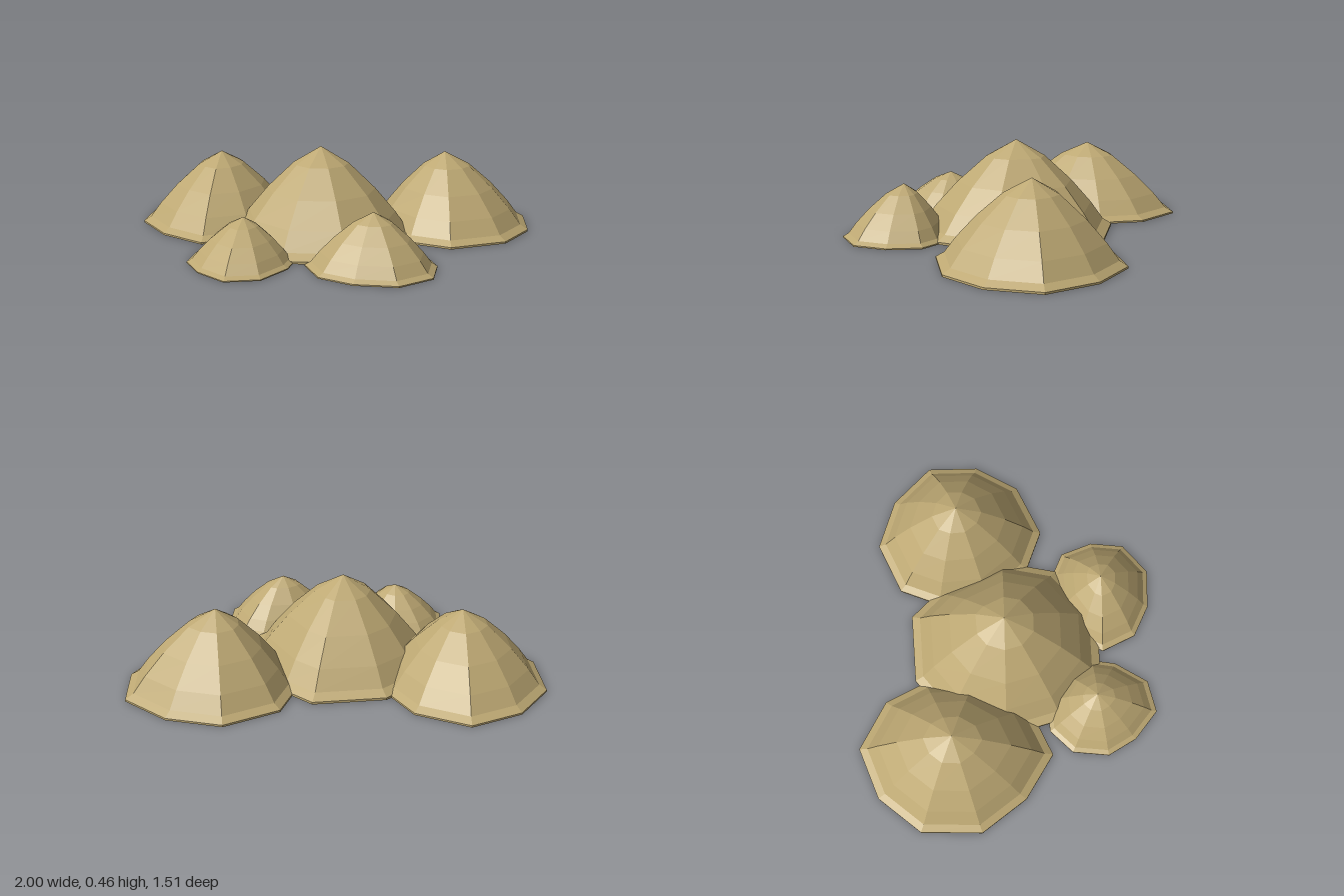
import * as THREE from 'three';

// Shared slope: [fraction of footprint, fraction of height], rim to crown
const PROFILE = [[1, 0], [1, 0.025], [0.91, 0.085], [0.78, 0.28], [0.57, 0.54], [0.29, 0.82]];

// Faceted mound: footprint runs clockwise seen from above, shrinking towards the apex
function createMound(name, [ax, height, az], footprint, material) {
  const n = footprint.length;
  const positions = [];
  const index = [];
  for (const [r, h] of PROFILE) {
    for (const [x, z] of footprint) {
      positions.push(ax + (x - ax) * r, height * h, az + (z - az) * r);
    }
  }
  const apex = PROFILE.length * n;
  const base = apex + 1;
  positions.push(ax, height, az, ax, 0, az);

  for (let i = 0; i < n; i++) {
    const j = (i + 1) % n;
    for (let k = 0; k < PROFILE.length - 1; k++) {
      const lo = k * n;
      const hi = lo + n;
      index.push(lo + j, lo + i, hi + i, lo + j, hi + i, hi + j);
    }
    const top = apex - n;
    index.push(top + j, top + i, apex); // crown
    index.push(base, i, j); // flat underside
  }

  const indexed = new THREE.BufferGeometry();
  indexed.setAttribute('position', new THREE.Float32BufferAttribute(positions, 3));
  indexed.setIndex(index);
  const geometry = indexed.toNonIndexed();
  geometry.computeVertexNormals();
  const mesh = new THREE.Mesh(geometry, material);
  mesh.name = name;
  return mesh;
}

// Each mound: name, apex [x, height, z], footprint corners [x, z]
const MOUNDS = [
  ['centreMound', [-0.05, 0.455, -0.02], [
    [-0.22, -0.48], [0.13, -0.5], [0.27, -0.36], [0.43, -0.02], [0.37, 0.26],
    [0.12, 0.47], [-0.2, 0.47], [-0.44, 0.27], [-0.52, -0.02], [-0.42, -0.32]]],
  ['backRightMound', [-0.6, 0.365, -0.28], [
    [-0.57, -0.76], [-0.33, -0.63], [-0.23, -0.43], [-0.22, -0.17], [-0.38, 0.1],
    [-0.62, 0.21], [-0.84, 0.07], [-1, -0.15], [-0.99, -0.45], [-0.82, -0.66]]],
  ['backLeftMound', [0.57, 0.39, -0.25], [
    [0.54, -0.68], [0.8, -0.6], [1, -0.41], [1, -0.15], [0.87, 0.07],
    [0.6, 0.19], [0.39, 0.11], [0.22, -0.1], [0.2, -0.36], [0.28, -0.56]]],
  ['frontRightMound', [-0.37, 0.21, 0.43], [
    [-0.5, 0.2], [-0.34, 0.19], [-0.2, 0.28], [-0.13, 0.43], [-0.15, 0.55],
    [-0.25, 0.71], [-0.41, 0.745], [-0.55, 0.63], [-0.63, 0.49], [-0.61, 0.31]]],
  ['frontLeftMound', [0.235, 0.26, 0.475], [
    [0.15, 0.26], [0.36, 0.25], [0.47, 0.3], [0.53, 0.46], [0.51, 0.63],
    [0.36, 0.75], [0.16, 0.74], [0, 0.66], [-0.08, 0.49], [-0.02, 0.37]]],
];

export function createModel() {
  const group = new THREE.Group();
  group.name = 'mounds';
  const material = new THREE.MeshStandardMaterial({ color: 0xbda873, flatShading: true });
  for (const [name, apex, footprint] of MOUNDS) {
    group.add(createMound(name, apex, footprint, material));
  }
  return group;
}
